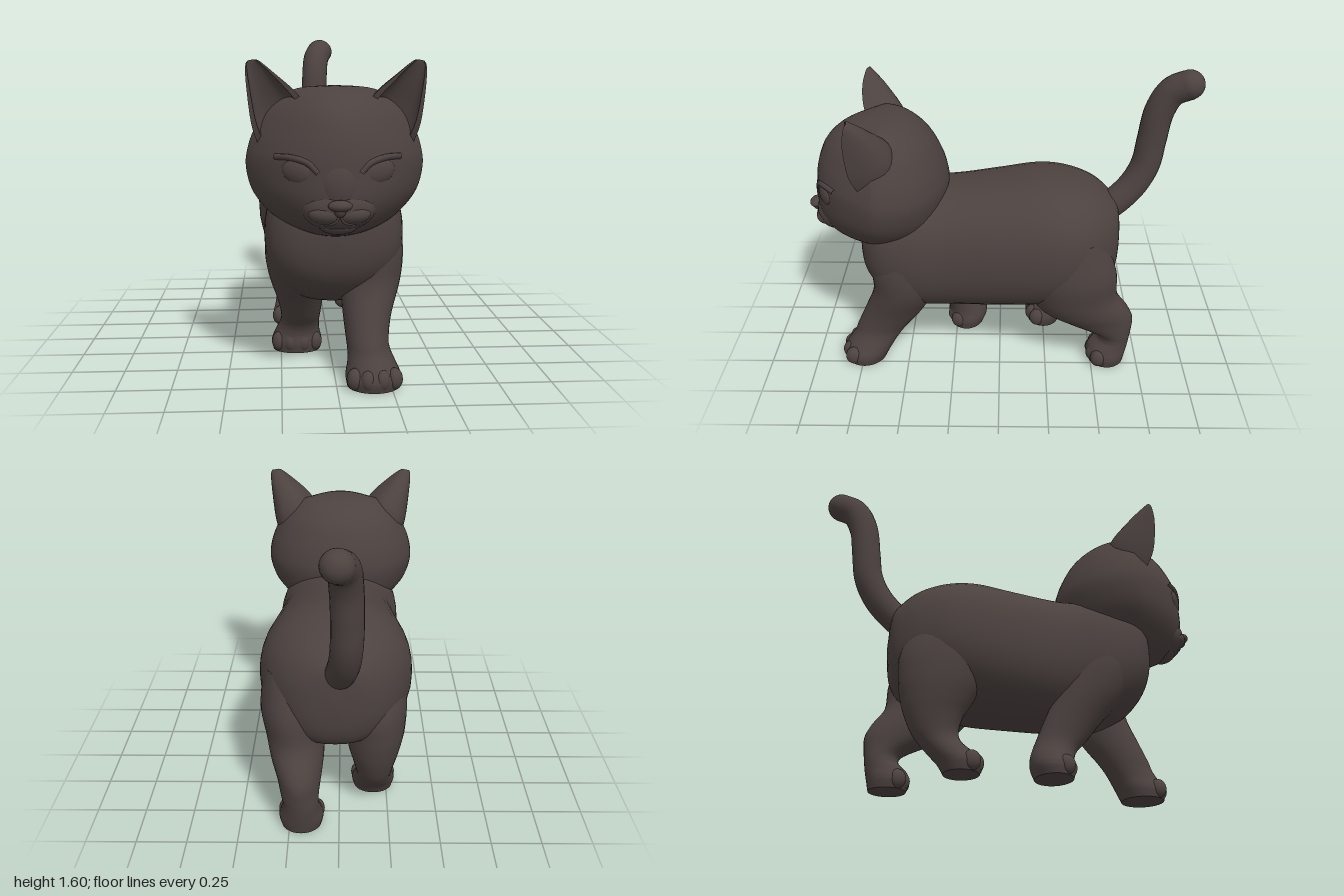
import * as THREE from 'three';
import { toCreasedNormals } from 'three/addons/utils/BufferGeometryUtils.js';

const fur = new THREE.MeshStandardMaterial({ color: 0x4c4240 });
fur.name = 'dark brown fur';
const V = (x, y, z) => new THREE.Vector3(x, y, z);
const signedPow = (v, p) => Math.sign(v) * Math.pow(Math.abs(v), p);

// Closed skin over a list of rings, fanned shut at both ends
function skin(rings, crease = 1) {
  const n = rings[0].length, m = rings.length, pos = [], index = [];
  rings.forEach(r => r.forEach(p => pos.push(p.x, p.y, p.z)));
  for (let i = 0; i < m - 1; i++) for (let j = 0; j < n; j++) {
    const k = (j + 1) % n, a = i * n + j, b = i * n + k, c = a + n, d = b + n;
    index.push(a, b, d, a, d, c);
  }
  [rings[0], rings[m - 1]].forEach((ring, e) => {
    const c = ring.reduce((s, p) => s.add(p), V(0, 0, 0)).divideScalar(n);
    pos.push(c.x, c.y, c.z);
    const o = e * (m - 1) * n;
    for (let j = 0; j < n; j++) {
      const a = o + j, b = o + (j + 1) % n;
      if (e) index.push(m * n + e, a, b); else index.push(m * n + e, b, a);
    }
  });
  const g = new THREE.BufferGeometry();
  g.setAttribute('position', new THREE.Float32BufferAttribute(pos, 3));
  g.setIndex(index);
  return toCreasedNormals(g, crease);
}

// Smoothly interpolates the rows of a table
function refine(rows, steps) {
  const out = [], last = rows.length - 1;
  const row = i => rows[Math.min(last, Math.max(0, i))];
  for (let i = 0; i < last; i++) for (let s = 0; s < steps; s++) {
    const t = s / steps;
    out.push(rows[0].map((_, c) => {
      const [a, b, d, e] = [row(i - 1)[c], row(i)[c], row(i + 1)[c], row(i + 2)[c]];
      const m0 = (d - a) / 2, m1 = (e - b) / 2;
      return b + t * (m0 + t * (3 * (d - b) - 2 * m0 - m1 + t * (2 * (b - d) + m0 + m1)));
    }));
  }
  out.push(rows[last]);
  return out;
}

// Rows are [position, low, high, half width, centre x]; stacked along z (slightly boxy) or y.
// frontPower narrows the front half at a given height
function loft(rows, axis, segments = 40, frontPower = () => 1) {
  return skin(refine(rows, 5).map(([t, lo, hi, w, cx]) => {
    const mid = (lo + hi) / 2, half = (hi - lo) / 2, hw = Math.max(w, 0.001), ring = [];
    for (let j = 0; j < segments; j++) {
      const a = j / segments * Math.PI * 2, c = Math.cos(a), s = Math.sin(a);
      if (axis === 'z') ring.push(V(cx + hw * signedPow(c, 0.86), mid + half * signedPow(s, 0.86), t));
      else ring.push(V(cx + hw * c, t, mid + half * (s < 0 ? Math.pow(-s, frontPower(t)) : -s)));
    }
    return ring;
  }));
}

function ear(side) {
  // [inner x, y, outer x, y, front z, depth to the back]
  const rows = [
    [0.10, 1.24, 0.345, 1.10, 0.67, 0.16], [0.18, 1.34, 0.375, 1.20, 0.71, 0.20],
    [0.265, 1.415, 0.394, 1.36, 0.722, 0.125], [0.335, 1.472, 0.398, 1.45, 0.71, 0.038],
    [0.36, 1.48, 0.387, 1.475, 0.70, 0.008],
  ];
  return skin(refine(rows, 4).map(([ax, ay, bx, by, z, depth]) => {
    const ring = [], n = 14;
    const add = (a, k, d) => {
      const u = k * signedPow(Math.cos(a), 0.8) / 2;
      ring.push(V(side * ((ax + bx) / 2 + (bx - ax) * u), (ay + by) / 2 + (by - ay) * u,
        z - d * signedPow(Math.sin(a), 0.8)));
    };
    for (let j = 0; j <= n; j++) add(j / n * Math.PI, 1, depth);
    for (let j = n; j >= 0; j--) add(j / n * Math.PI, 0.8, depth * 0.4);
    return side > 0 ? ring : ring.reverse();
  }), 0.8);
}

export function createModel() {
  const cat = new THREE.Group();
  cat.name = 'cat';
  const add = (name, geometry) => {
    const mesh = new THREE.Mesh(geometry, fur);
    mesh.name = name;
    cat.add(mesh);
    return mesh;
  };
  const blob = (name, p, r) => {
    const mesh = add(name, new THREE.SphereGeometry(1, 24, 16));
    mesh.position.set(...p);
    mesh.scale.set(...r);
    return mesh;
  };
  const tube = (name, pts, r, steps = 24, sides = 8) => add(name,
    new THREE.TubeGeometry(new THREE.CatmullRomCurve3(pts.map(p => V(...p))), steps, r, sides));

  // Trunk from rump to chest
  add('body', loft([
    [-0.63, 0.70, 0.72, 0, 0.02], [-0.615, 0.55, 0.87, 0.14, 0.02], [-0.57, 0.46, 0.935, 0.23, 0.02],
    [-0.48, 0.41, 1.0, 0.315, 0.02], [-0.35, 0.38, 1.04, 0.375, 0.018], [-0.2, 0.34, 1.055, 0.382, 0.017],
    [0, 0.325, 1.03, 0.357, 0.017], [0.25, 0.315, 1.0, 0.325, 0.015], [0.45, 0.32, 1.0, 0.333, 0.005],
    [0.6, 0.39, 0.98, 0.308, 0], [0.68, 0.47, 0.90, 0.245, 0], [0.72, 0.56, 0.80, 0.15, 0],
    [0.735, 0.67, 0.69, 0, 0],
  ], 'z'));

  // Head with the face narrowing forward, more so towards the crown
  add('head', loft([
    [0.685, 0.58, 0.62, 0, 0], [0.70, 0.46, 0.75, 0.14, 0], [0.75, 0.37, 0.87, 0.245, 0],
    [0.82, 0.31, 0.925, 0.325, 0], [0.90, 0.28, 0.945, 0.38, 0], [1.0, 0.262, 0.942, 0.405, 0],
    [1.08, 0.272, 0.935, 0.397, 0], [1.16, 0.30, 0.915, 0.37, 0], [1.25, 0.35, 0.87, 0.32, 0],
    [1.32, 0.425, 0.79, 0.245, 0], [1.355, 0.50, 0.69, 0.15, 0], [1.365, 0.57, 0.61, 0, 0],
  ], 'y', 48, y => 1.6 + 3 * Math.max(0, y - 1.06)));

  // Muzzle, nose and chin, mostly sunk into the face
  blob('muzzle', [0, 0.85, 0.85], [0.165, 0.105, 0.108]);
  blob('noseBridge', [0, 0.95, 0.885], [0.1, 0.13, 0.07]);
  blob('nose', [0, 0.872, 0.962], [0.052, 0.025, 0.037]);
  blob('noseTip', [0, 0.85, 0.955], [0.025, 0.028, 0.03]);
  blob('chin', [0, 0.775, 0.855], [0.09, 0.045, 0.06]);

  for (const s of [1, -1]) {
    const side = s > 0 ? 'left' : 'right';
    add(side + 'Ear', ear(s));
    blob(side + 'MuzzlePad', [s * 0.05, 0.828, 0.9], [0.085, 0.045, 0.058]);
    const eye = blob(side + 'Eye', [s * 0.172, 1.005, 0.868], [0.08, 0.056, 0.031]);
    eye.rotation.set(0, s * 0.5, s * 0.2);
    tube(side + 'Eyelid', [[s * 0.09, 1.005, 0.92], [s * 0.13, 1.045, 0.908],
      [s * 0.2, 1.066, 0.868], [s * 0.27, 1.066, 0.807]], 0.014);
    tube(side + 'Mouth', [[0, 0.83, 0.955], [s * 0.02, 0.797, 0.94],
      [s * 0.07, 0.785, 0.915], [s * 0.13, 0.805, 0.88]], 0.006);
  }

  // Legs in mid stride: rows of [y, back z, front z, half width, centre x]
  const legs = {
    leftFrontLeg: [1, [[0, 0.63, 0.85, 0.12, 0.17], [0.05, 0.605, 0.86, 0.128, 0.17],
      [0.1, 0.575, 0.83, 0.112, 0.165], [0.15, 0.54, 0.795, 0.1, 0.155], [0.2, 0.5, 0.775, 0.1, 0.15],
      [0.3, 0.42, 0.73, 0.115, 0.155], [0.45, 0.34, 0.67, 0.145, 0.175], [0.6, 0.31, 0.67, 0.15, 0.183],
      [0.8, 0.35, 0.62, 0.13, 0.18]]],
    rightFrontLeg: [-1, [[0, 0.1, 0.29, 0.12, 0.17], [0.05, 0.08, 0.3, 0.128, 0.17],
      [0.1, 0.08, 0.295, 0.112, 0.165], [0.15, 0.095, 0.315, 0.1, 0.155], [0.2, 0.115, 0.36, 0.1, 0.15],
      [0.3, 0.155, 0.44, 0.115, 0.155], [0.45, 0.22, 0.57, 0.14, 0.17], [0.6, 0.27, 0.63, 0.15, 0.175],
      [0.8, 0.35, 0.6, 0.12, 0.175]]],
    leftHindLeg: [1, [[0, -0.68, -0.49, 0.1, 0.19], [0.05, -0.69, -0.475, 0.112, 0.19],
      [0.1, -0.7, -0.49, 0.1, 0.19], [0.15, -0.707, -0.535, 0.09, 0.19], [0.2, -0.712, -0.5, 0.095, 0.195],
      [0.28, -0.715, -0.33, 0.115, 0.2], [0.35, -0.685, -0.22, 0.135, 0.21], [0.45, -0.62, -0.16, 0.15, 0.222],
      [0.6, -0.605, -0.13, 0.16, 0.235], [0.8, -0.53, -0.2, 0.14, 0.225]]],
    rightHindLeg: [-1, [[0, -0.34, -0.165, 0.1, 0.18], [0.05, -0.37, -0.15, 0.112, 0.18],
      [0.1, -0.42, -0.19, 0.1, 0.18], [0.15, -0.465, -0.25, 0.09, 0.18], [0.2, -0.5, -0.27, 0.095, 0.18],
      [0.28, -0.535, -0.25, 0.115, 0.18], [0.35, -0.555, -0.21, 0.135, 0.18], [0.45, -0.57, -0.16, 0.15, 0.185],
      [0.6, -0.565, -0.13, 0.155, 0.185], [0.8, -0.46, -0.22, 0.13, 0.18]]],
  };
  for (const [name, [s, rows]] of Object.entries(legs)) {
    add(name, loft(rows.map(r => [...r.slice(0, 4), s * r[4]]), 'y', 32));
    const [, , front, w, cx] = rows[1];
    for (const k of [-0.7, -0.25, 0.25, 0.7])
      blob(name + 'Toe', [s * cx + k * w, 0.05, front - 0.04 - 0.05 * k * k], [0.038, 0.05, 0.045]);
  }

  // Raised tail with a rounded tip
  tube('tail', [[0, 0.82, -0.53], [-0.01, 0.88, -0.61], [-0.025, 0.97, -0.695], [-0.035, 1.08, -0.75],
    [-0.038, 1.22, -0.772], [-0.033, 1.38, -0.797], [-0.022, 1.485, -0.85], [0.003, 1.53, -0.925]], 0.075, 40, 20);
  blob('tailTip', [0.003, 1.53, -0.925], [0.076, 0.073, 0.075]);
  return cat;
}
